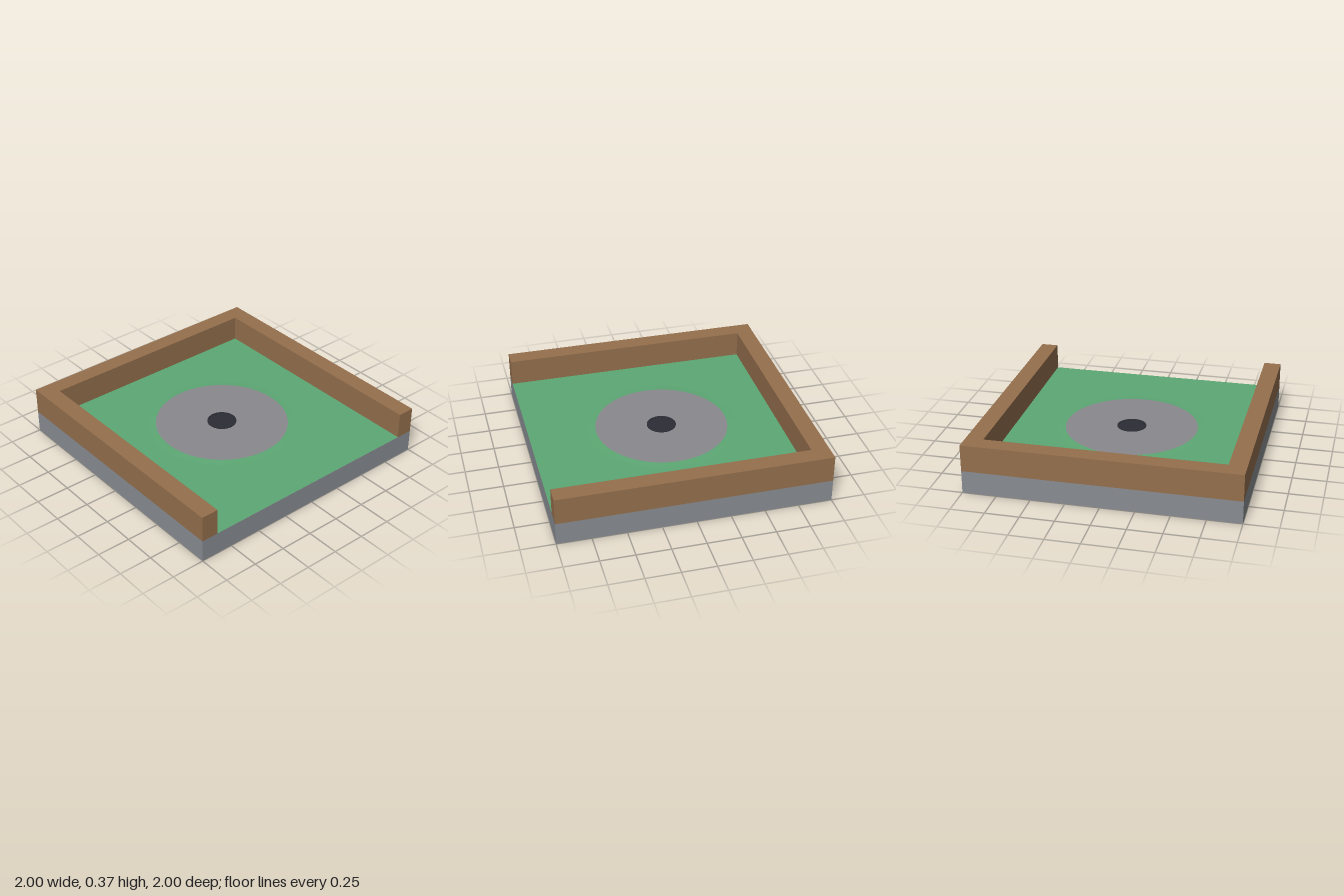
import * as THREE from 'three';

export function createModel() {
  const model = new THREE.Group();
  const mat = (name, color, side = THREE.FrontSide) => {
    const m = new THREE.MeshStandardMaterial({ color, side });
    m.name = name;
    return m;
  };
  const stone = mat('stone grey', 0x888c91);
  const wood = mat('wood brown', 0x946f4d);
  const turf = mat('turf green', 0x5da874);
  const patch = mat('patch grey', 0x89888d);
  const dark = mat('cup dark', 0x2c2c36, THREE.DoubleSide);

  const add = (name, geometry, material, x = 0, y = 0, z = 0) => {
    const mesh = new THREE.Mesh(geometry, material);
    mesh.name = name;
    mesh.position.set(x, y, z);
    model.add(mesh);
    return mesh;
  };

  const floor = 0.17, top = 0.37, wall = 0.13;
  const wallHeight = top - floor;
  const wallY = (floor + top) / 2;

  // Square slab
  add('base', new THREE.BoxGeometry(2, floor, 2), stone, 0, floor / 2, 0);

  // Turf sheet between the rails, open at the front
  add('turf', new THREE.PlaneGeometry(2 - 2 * wall, 2 - wall).rotateX(-Math.PI / 2),
    turf, 0, floor + 0.001, wall / 2);

  // Side rails and back rail
  for (const [name, s] of [['leftRail', 1], ['rightRail', -1]]) {
    add(name, new THREE.BoxGeometry(wall, wallHeight, 2), wood, s * (1 - wall / 2), wallY, 0);
  }
  add('backRail', new THREE.BoxGeometry(2 - 2 * wall, wallHeight, wall), wood, 0, wallY, -1 + wall / 2);

  // Barely raised turf mound with a round patch on it
  add('mound', new THREE.CylinderGeometry(0.5, 0.58, 0.004, 64, 1, true), turf, 0, floor + 0.002, 0);
  add('patch', new THREE.RingGeometry(0.1, 0.5, 64).rotateX(-Math.PI / 2), patch, 0, floor + 0.004, 0);

  // Cup with a low rim
  add('cup', new THREE.CircleGeometry(0.1, 32).rotateX(-Math.PI / 2), dark, 0, floor + 0.005, 0);
  const rim = [[0.11, 0.003], [0.11, 0.009], [0.095, 0.009], [0.095, 0.004]]
    .map(([r, y]) => new THREE.Vector2(r, y));
  add('cupRim', new THREE.LatheGeometry(rim, 32).toNonIndexed(), dark, 0, floor, 0)
    .geometry.computeVertexNormals();

  return model;
}
